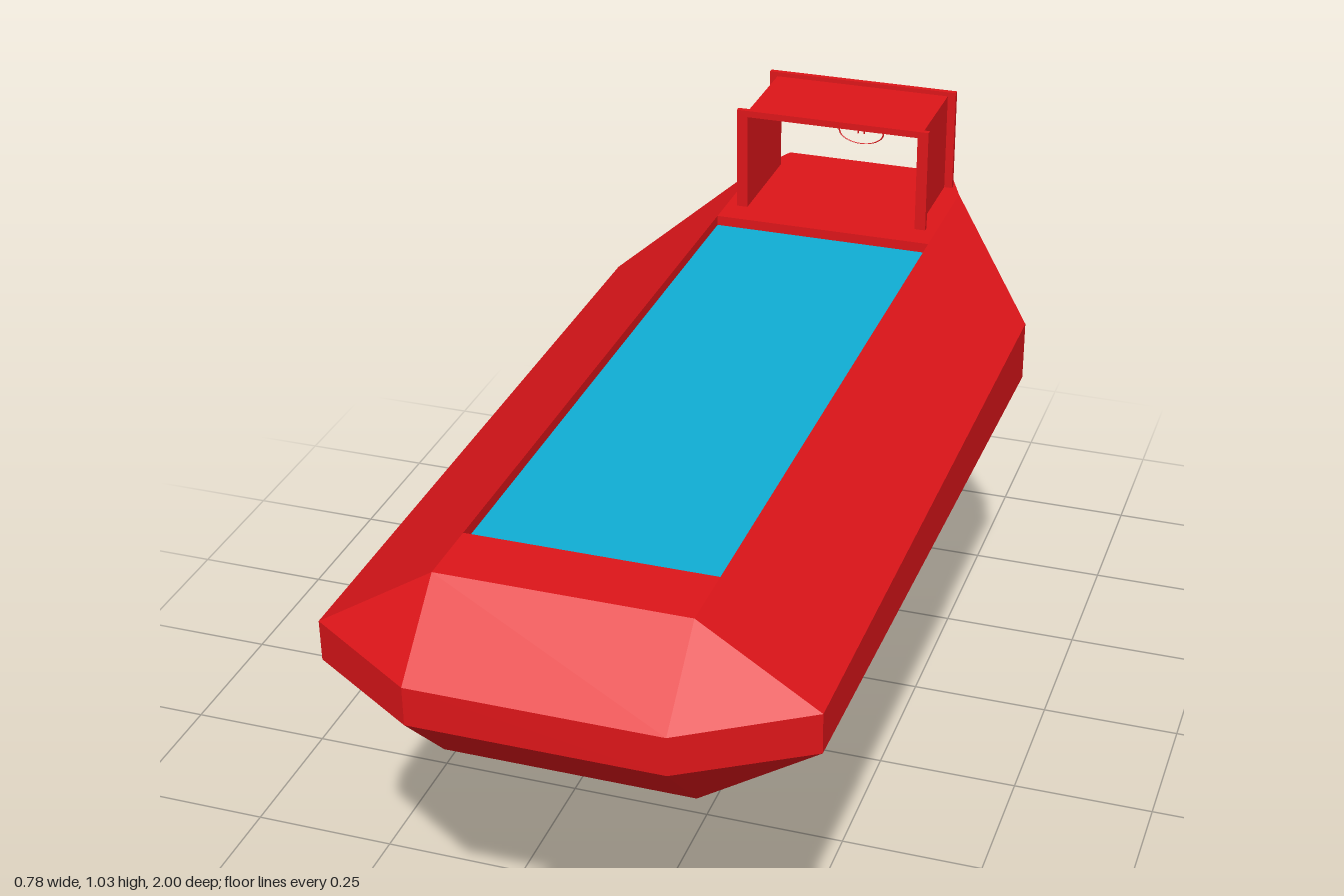
import * as THREE from 'three';
import { toCreasedNormals } from 'three/addons/utils/BufferGeometryUtils.js';

const red = new THREE.MeshStandardMaterial({ color: 0xdd1519 });
const blue = new THREE.MeshStandardMaterial({ color: 0x10aed4 });

const flip = ([x, y, z]) => [-x, y, z];

// Collects quads into a faceted geometry; points are given for the +x half only.
class Facets {
  constructor() { this.p = []; }
  quad(a, b, c, d) { this.p.push(...a, ...b, ...c, ...a, ...c, ...d); return this; }
  // one quad on the +x side and its mirror image
  pair(a, b, c, d) { return this.quad(a, b, c, d).quad(flip(a), flip(d), flip(c), flip(b)); }
  // strips running across the centre plane along a chain of points
  across(...chain) {
    for (let i = 0; i + 1 < chain.length; i++)
      this.quad(chain[i], chain[i + 1], flip(chain[i + 1]), flip(chain[i]));
    return this;
  }
  geometry() {
    const g = new THREE.BufferGeometry();
    g.setAttribute('position', new THREE.Float32BufferAttribute(this.p, 3));
    g.computeVertexNormals();
    return g;
  }
}

function polygon(points) {
  return new THREE.Shape(points.map(([x, y]) => new THREE.Vector2(x, y)));
}

function extrude(points, depth) {
  return new THREE.ExtrudeGeometry(polygon(points), { depth, bevelEnabled: false });
}

// Upside-down U outline standing on the body top
function arch(outer, top, inner, innerTop) {
  const y = 0.835;
  return [[-outer, y], [-inner, y], [-inner, innerTop], [inner, innerTop],
    [inner, y], [outer, y], [outer, top], [-outer, top]];
}

export function createModel() {
  const model = new THREE.Group();
  const add = (name, geometry, material = red, parent = model) => {
    const mesh = new THREE.Mesh(geometry, material);
    mesh.name = name;
    parent.add(mesh);
    return mesh;
  };

  // Body sections from nose to rear: top, upper side, lower side, bottom
  const sections = [
    [[0.2, 0.72, 1], [0.2, 0.72, 1], [0.2, 0.655, 1], [0.2, 0.655, 1]],
    [[0.2, 0.84, 0.875], [0.39, 0.718, 0.875], [0.39, 0.65, 0.875], [0.2, 0.527, 0.875]],
    [[0.2, 0.84, -0.405], [0.39, 0.718, -0.405], [0.39, 0.61, -0.405], [0.2, 0.487, -0.405]],
    [[0.2, 0.84, -0.655], [0.2, 0.84, -0.655], [0.155, 0.48, -0.655], [0.155, 0.48, -0.655]],
  ];
  const [nose, front, back, rear] = sections;
  const lip = [[0.2, 0.84, 0.76], [0.2, 0.84, -0.425]];
  const floor = [[0.2, 0.822, 0.76], [0.2, 0.822, -0.425]];

  const body = new Facets();
  for (let i = 0; i < 3; i++)
    for (let j = 0; j < 3; j++)
      body.pair(sections[i][j], sections[i][j + 1], sections[i + 1][j + 1], sections[i + 1][j]);
  body.across(rear[3], back[3], front[3], nose[3], nose[0], front[0], lip[0], floor[0]);
  body.across(floor[1], lip[1], rear[0]);
  body.pair(lip[0], lip[1], floor[1], floor[0]);
  add('body', body.geometry());

  // Recessed screen
  add('screen', new Facets().across(floor[0], floor[1]).geometry(), blue);

  // Grip: matching points down its front and back edges
  const gripFront = [rear[0], rear[3], [0.11, 0.275, -0.68], [0.11, 0, -0.81]];
  const gripBack = [[0.16, 0.84, -0.75], [0.05, 0.68, -0.865], [0.05, 0.275, -0.912], [0.05, 0, -1]];
  const grip = new Facets();
  for (let i = 0; i < 3; i++)
    grip.pair(gripFront[i], gripFront[i + 1], gripBack[i + 1], gripBack[i]);
  grip.across(gripFront[0], ...gripBack, gripFront[3], gripFront[2], gripFront[1]);
  add('grip', toCreasedNormals(grip.geometry(), 0.5));

  // Trigger guard, drawn as a side outline (z, y)
  const guard = extrude([[-0.39, 0.495], [-0.39, 0.22], [-0.73, 0.195],
    [-0.72, 0.232], [-0.408, 0.243], [-0.408, 0.495]], 0.104);
  guard.translate(0, 0, -0.052).rotateY(-Math.PI / 2);
  add('triggerGuard', guard);

  // Sight: open tunnel with a raised rim at each end
  const sight = new THREE.Group();
  sight.name = 'sight';
  model.add(sight);
  add('sightTunnel', extrude(arch(0.165, 1.022, 0.16, 1.018), 0.2).translate(0, 0, -0.685), red, sight);
  for (const z of [-0.49, -0.69])
    add('sightRim', extrude(arch(0.18, 1.03, 0.16, 1.018), 0.01).translate(0, 0, z), red, sight);

  // Fine aiming ring with a tiny centre mark
  const ring = add('aimingRing', new THREE.TorusGeometry(0.043, 0.0015, 6, 40), red, sight);
  ring.scale.set(1, 0.56, 1);
  ring.position.set(0, 0.93, -0.683);
  for (const x of [-0.006, 0.006]) {
    const mark = add('aimingMark', new THREE.BoxGeometry(0.002, 0.008, 0.002), red, sight);
    mark.position.set(x, 0.93, -0.683);
  }

  return model;
}
